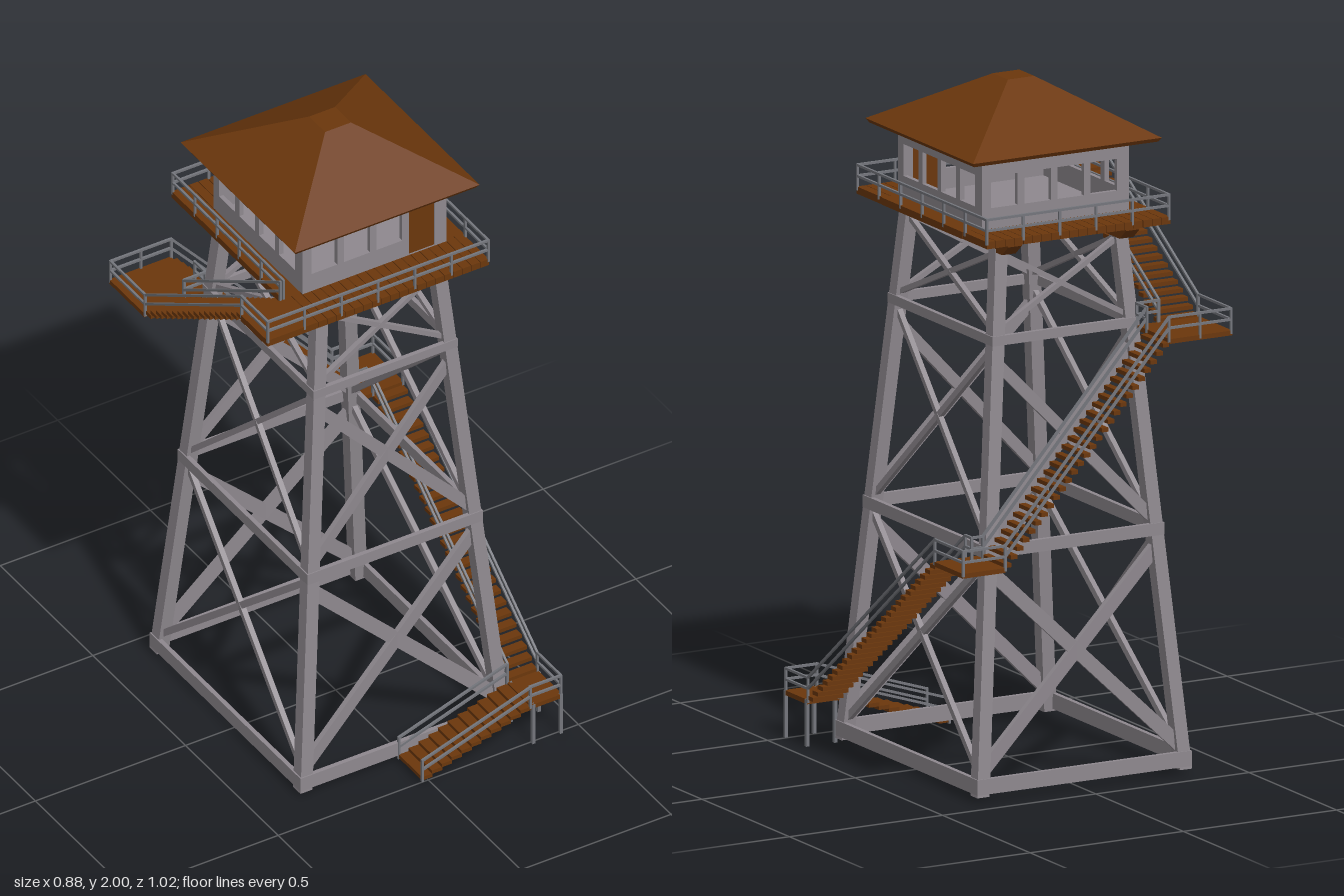
import * as THREE from 'three';

const mat = (color) => new THREE.MeshStandardMaterial({ color });
const STEEL = mat(0x8e888e), WOOD = mat(0x6b370c), RAIL = mat(0x74767c);
const V = (x, y, z) => new THREE.Vector3(x, y, z);

function group(parent, name) {
  const g = new THREE.Group();
  g.name = name;
  parent.add(g);
  return g;
}

// Box given by its limits
function box(parent, name, material, x0, x1, y0, y1, z0, z1) {
  const m = new THREE.Mesh(new THREE.BoxGeometry(x1 - x0, y1 - y0, z1 - z0), material);
  m.position.set((x0 + x1) / 2, (y0 + y1) / 2, (z0 + z1) / 2);
  m.name = name;
  parent.add(m);
}

// Straight bar from a to b, w wide and h high
function bar(parent, name, material, a, b, w, h) {
  const m = new THREE.Mesh(new THREE.BoxGeometry(w, h, a.distanceTo(b)), material);
  m.position.copy(a).lerp(b, 0.5);
  m.lookAt(b);
  m.name = name;
  parent.add(m);
}

// Two-bar railing with posts along a floor path
function railing(parent, points, spacing = 0.13) {
  const g = group(parent, 'railing'), t = 0.007;
  const post = (p) => box(g, 'railPost', RAIL, p.x - t / 2, p.x + t / 2, p.y - 0.01, p.y + 0.067, p.z - t / 2, p.z + t / 2);
  for (let i = 0; i + 1 < points.length; i++) {
    const a = points[i], b = points[i + 1];
    for (const h of [0.032, 0.064]) {
      const up = V(0, h, 0);
      bar(g, 'railBar', RAIL, a.clone().add(up), b.clone().add(up), t, t);
    }
    const n = Math.max(1, Math.round(a.distanceTo(b) / spacing));
    for (let k = 0; k < n; k++) post(a.clone().lerp(b, k / n));
  }
  post(points[points.length - 1]);
}

// Flight of open treads between two centre points, railed on both sides
function stairs(parent, name, a, b, width, n) {
  const g = group(parent, name);
  const alongX = Math.abs(b.x - a.x) > Math.abs(b.z - a.z);
  const run = (alongX ? Math.abs(b.x - a.x) : Math.abs(b.z - a.z)) / n;
  const dx = (alongX ? run * 1.06 : width) / 2, dz = (alongX ? width : run * 1.06) / 2;
  for (let i = 0; i < n; i++) {
    const p = a.clone().lerp(b, (i + 0.5) / n);
    box(g, 'tread', WOOD, p.x - dx, p.x + dx, p.y - 0.012, p.y, p.z - dz, p.z + dz);
  }
  for (const s of [-1, 1]) {
    const off = alongX ? V(0, 0, s * width / 2) : V(s * width / 2, 0, 0);
    railing(g, [a.clone().add(off), b.clone().add(off)], 0.9);
  }
}

// Point on the tower's tapering corner line
function corner(sx, sz, y) {
  const t = y / 1.58;
  return V(-0.003 + sx * (0.332 - 0.137 * t), y, -0.024 + sz * (0.389 - 0.134 * t));
}

function buildTower(parent) {
  const g = group(parent, 'tower');
  const sides = [[-1, 1, 1, 1], [1, 1, 1, -1], [1, -1, -1, -1], [-1, -1, -1, 1]];
  for (const [ax, az, bx, bz] of sides) {
    // Leg: upright box sheared onto the corner line
    const geo = new THREE.BoxGeometry(0.04, 1.56, 0.04), pos = geo.attributes.position;
    for (let i = 0; i < pos.count; i++) {
      const y = pos.getY(i) + 0.795, c = corner(ax, az, y);
      pos.setXYZ(i, pos.getX(i) + c.x, y, pos.getZ(i) + c.z);
    }
    geo.computeVertexNormals();
    const leg = new THREE.Mesh(geo, STEEL);
    leg.name = 'leg';
    g.add(leg);
    // Level boards on the outer faces of the legs
    const out = V(ax + bx, 0, az + bz).multiplyScalar(0.0075);
    for (const [y, h] of [[0.045, 0.045], [0.712, 0.036], [1.312, 0.028]]) {
      const a = corner(ax, az, y).add(out), b = corner(bx, bz, y).add(out);
      const e = b.clone().sub(a).normalize().multiplyScalar(0.022);
      bar(g, 'levelBeam', STEEL, a.sub(e), b.add(e), 0.014, h);
    }
    // Cross braces, heavier on front and back
    const wide = az === bz;
    const tiers = wide ? [[0.08, 0.66, 0.04], [0.74, 1.25, 0.033], [1.33, 1.56, 0.015]]
      : [[0.07, 0.69, 0.02], [0.73, 1.29, 0.017], [1.33, 1.56, 0.015]];
    for (const [y0, y1, w] of tiers) {
      bar(g, 'crossBrace', STEEL, corner(ax, az, y0), corner(bx, bz, y1), 0.016, w);
      bar(g, 'crossBrace', STEEL, corner(ax, az, y1), corner(bx, bz, y0), 0.016, w);
    }
  }
}

function buildDeck(parent) {
  const g = group(parent, 'deck');
  const y0 = 1.607, y1 = 1.628;
  // Planked walkways in front of and behind the cabin
  const n = 20, pitch = 0.6 / n;
  for (let i = 0; i < n; i++) {
    const x = -0.3 + i * pitch;
    box(g, 'frontPlank', WOOD, x, x + pitch - 0.002, y0, y1, 0.2, 0.345);
    box(g, 'backPlank', WOOD, x, x + pitch - 0.002, y0, y1, -0.4, -0.26);
  }
  box(g, 'leftDeck', WOOD, 0.23, 0.3, y0, y1, -0.26, 0.2);
  box(g, 'rightDeck', WOOD, -0.3, -0.23, y0, y1, -0.26, 0.2);
  box(g, 'stairHeadDeck', WOOD, -0.44, -0.3, y0, y1, 0.2, 0.345);
  box(g, 'cabinFloor', STEEL, -0.23, 0.23, y0 + 0.006, y1, -0.26, 0.2);
  // Carrying beams with chamfered ends
  const s = new THREE.Shape([[-0.37, 1.607], [-0.37, 1.595], [-0.335, 1.565], [0.28, 1.565], [0.315, 1.595], [0.315, 1.607]]
    .map(([z, y]) => new THREE.Vector2(-z, y)));
  for (const x of [-0.217, 0.167]) {
    const m = new THREE.Mesh(new THREE.ExtrudeGeometry(s, { depth: 0.045, bevelEnabled: false }), WOOD);
    m.rotation.y = Math.PI / 2;
    m.position.x = x;
    m.name = 'carryingBeam';
    g.add(m);
  }
  railing(g, [V(-0.437, y1, 0.2), V(-0.437, y1, 0.342), V(0.297, y1, 0.342), V(0.297, y1, -0.397),
    V(-0.297, y1, -0.397), V(-0.297, y1, 0.2)]);
}

function buildCabin(parent) {
  const g = group(parent, 'cabin');
  g.position.set(0, 1.628, -0.03);
  const half = 0.24, bays = [-0.167, -0.058, 0.049, 0.157];
  // Walls pierced by four bays; the front's last bay holds the door
  for (let side = 0; side < 4; side++) {
    const s = new THREE.Shape([[-half, 0], [half, 0], [half, 0.21], [-half, 0.21]].map((p) => new THREE.Vector2(...p)));
    bays.forEach((x, i) => {
      const y = side === 0 && i === 3 ? 0.003 : 0.06, w = 0.043;
      s.holes.push(new THREE.Path([[x - w, y], [x - w, 0.153], [x + w, 0.153], [x + w, y]].map((p) => new THREE.Vector2(...p))));
    });
    const holder = group(g, 'wallSide');
    holder.rotation.y = side * Math.PI / 2;
    const wall = new THREE.Mesh(new THREE.ExtrudeGeometry(s, { depth: 0.014, bevelEnabled: false }), STEEL);
    wall.position.z = half - 0.014;
    wall.name = 'wall';
    holder.add(wall);
  }
  box(g, 'door', WOOD, 0.113, 0.201, 0.002, 0.154, half - 0.011, half - 0.002);
  // Hipped roof with a small flat top and an eave lip
  const r = Math.SQRT2;
  const prism = (name, top, bottom, y, h) => {
    const geo = new THREE.CylinderGeometry(top * r, bottom * r, h, 4).toNonIndexed();
    geo.computeVertexNormals();
    const m = new THREE.Mesh(geo, WOOD);
    m.rotation.y = Math.PI / 4;
    m.position.y = y + h / 2;
    m.name = name;
    g.add(m);
  };
  prism('eave', 0.308, 0.3, 0.204, 0.012);
  prism('roof', 0.043, 0.308, 0.216, 0.156);
}

function buildStairway(parent) {
  const g = group(parent, 'stairway');
  const Y = [0.138, 0.7, 1.302], o = 0.437, w = 0.128;
  // Landings
  const landing = (x0, x1, y, z0, z1) => box(g, 'landing', WOOD, x0, x1, y - 0.014, y, z0, z1);
  landing(0.335, 0.44, Y[0], 0.38, 0.51);
  landing(0.3, 0.44, Y[1], -0.51, -0.345);
  landing(-0.44, -0.235, Y[2], -0.51, -0.32);
  railing(g, [V(0.335, Y[0], 0.507), V(o, Y[0], 0.507), V(o, Y[0], 0.38)]);
  railing(g, [V(o, Y[1], -0.345), V(o, Y[1], -0.507), V(0.3, Y[1], -0.507)]);
  railing(g, [V(0.337, Y[1], -0.345), V(0.337, Y[1], -0.38), V(0.3, Y[1], -0.38)]);
  railing(g, [V(-0.235, Y[2], -0.507), V(-o, Y[2], -0.507), V(-o, Y[2], -0.32)]);
  railing(g, [V(-0.235, Y[2], -0.38), V(-0.235, Y[2], -0.322), V(-0.305, Y[2], -0.322)]);
  // Ground posts of the lowest landing
  for (const x of [0.345, 0.437]) for (const z of [0.386, 0.507])
    box(g, 'groundPost', RAIL, x - 0.005, x + 0.005, 0, Y[0], z - 0.005, z + 0.005);
  // Flights, bottom to top
  stairs(g, 'firstFlight', V(-0.025, 0.02, 0.445), V(0.335, Y[0], 0.445), w, 11);
  stairs(g, 'secondFlight', V(0.387, Y[0], 0.38), V(0.387, Y[1], -0.345), 0.1, 26);
  stairs(g, 'thirdFlight', V(0.3, Y[1], -0.443), V(-0.235, Y[2], -0.443), w, 27);
  stairs(g, 'fourthFlight', V(-0.372, Y[2], -0.32), V(-0.372, 1.628, 0.2), w, 18);
}

export function createModel() {
  const model = new THREE.Group();
  model.name = 'lookoutTower';
  buildTower(model);
  buildDeck(model);
  buildCabin(model);
  buildStairway(model);
  return model;
}
